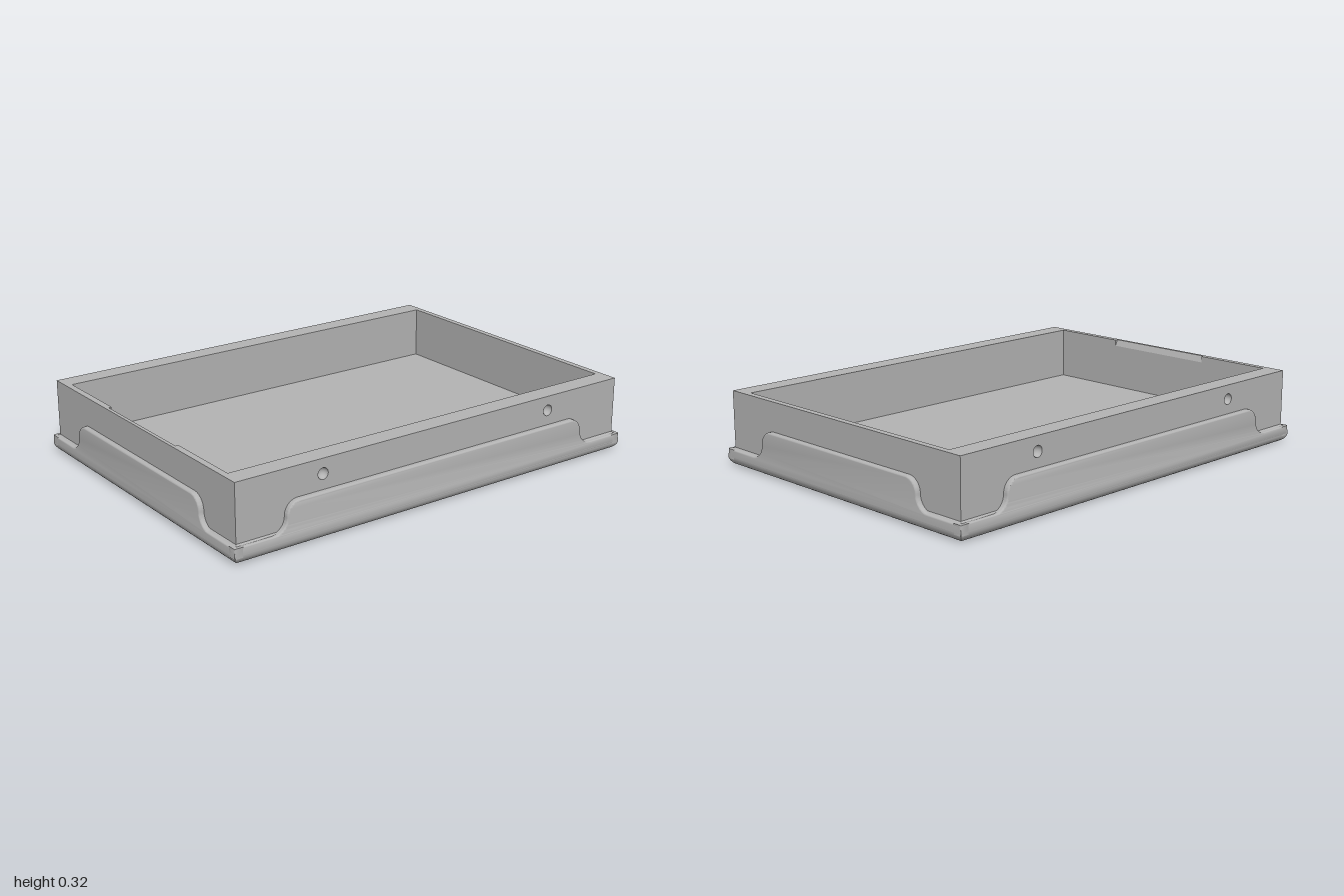
import * as THREE from 'three';
import { toCreasedNormals } from 'three/addons/utils/BufferGeometryUtils.js';

// Overall half sizes: outer base, wall box, cavity
const BASE = { x: 0.727, z: 1.0 };
const WALL = { x: 0.703, z: 0.978 };
const CAVITY = { x: 0.614, z: 0.95 };
const TOP = 0.325, FLOOR = 0.095, LOW = 0.05;

export function createModel() {
  const tray = new THREE.Group();
  tray.name = 'tray';
  const grey = new THREE.MeshStandardMaterial({ color: 0xb3b3b3, side: THREE.DoubleSide });
  grey.name = 'grey';

  const add = (name, geometry, angle = 0) => {
    const mesh = new THREE.Mesh(geometry, grey);
    mesh.name = name;
    mesh.rotation.y = angle;
    tray.add(mesh);
    return mesh;
  };
  // Box given by its minimum and maximum corners
  const box = (name, x0, x1, y0, y1, z0, z1) =>
    add(name, new THREE.BoxGeometry(x1 - x0, y1 - y0, z1 - z0)
      .translate((x0 + x1) / 2, (y0 + y1) / 2, (z0 + z1) / 2));
  const rect = (halfX, y0, y1) => new THREE.Shape([
    new THREE.Vector2(-halfX, y0), new THREE.Vector2(halfX, y0),
    new THREE.Vector2(halfX, y1), new THREE.Vector2(-halfX, y1)]);

  // Base slab with rounded lower edges
  const slab = new THREE.ExtrudeGeometry(rect(BASE.x, -BASE.z, BASE.z), {
    depth: 0.002, bevelSize: 0.04, bevelThickness: 0.04, bevelOffset: -0.04, bevelSegments: 8,
  });
  slab.rotateX(-Math.PI / 2).translate(0, 0.04, 0);
  add('base', toCreasedNormals(slab, 0.6));

  // Skirt: a low lip that rises to a raised tab through S-curves
  const skirt = (name, halfWidth, tab, distance, angle) => {
    const r = 0.062, mid = 0.135, b = 0.008, thick = 0.044;
    const s = new THREE.Shape();
    s.moveTo(-halfWidth, 0.03);
    s.lineTo(halfWidth, 0.03);
    s.lineTo(halfWidth, mid - r);
    s.absarc(tab + 2 * r, mid, r, -Math.PI / 2, -Math.PI, true);
    s.absarc(tab, mid, r, 0, Math.PI / 2, false);
    s.absarc(-tab, mid, r, Math.PI / 2, Math.PI, false);
    s.absarc(-tab - 2 * r, mid, r, 0, -Math.PI / 2, true);
    s.lineTo(-halfWidth, mid - r);
    const g = new THREE.ExtrudeGeometry(s, {
      depth: thick - 2 * b, curveSegments: 12,
      bevelSize: b, bevelThickness: b, bevelOffset: -b, bevelSegments: 4,
    });
    g.translate(0, 0, distance - thick + b);
    add(name, toCreasedNormals(g, 0.6), angle);
  };
  skirt('frontSkirt', BASE.x, 0.422, BASE.z, 0);
  skirt('backSkirt', BASE.x, 0.422, BASE.z, Math.PI);
  skirt('leftSkirt', BASE.z, 0.7, BASE.x, Math.PI / 2);
  skirt('rightSkirt', BASE.z, 0.7, BASE.x, -Math.PI / 2);

  // Cavity floor
  box('floor', -0.65, 0.65, LOW, FLOOR, -0.96, 0.96);

  // Side walls: an outer skin with two round dimples over a solid core
  const holeR = 0.024, holeY = 0.262, holeZ = 0.582;
  for (const side of [1, -1]) {
    const label = side > 0 ? 'left' : 'right';
    const shape = rect(WALL.z, LOW, TOP);
    for (const z of [-holeZ, holeZ]) {
      shape.holes.push(new THREE.Path().absarc(z, holeY, holeR, 0, Math.PI * 2, true));
    }
    const skin = new THREE.ExtrudeGeometry(shape, { depth: holeR, bevelEnabled: false, curveSegments: 24 });
    skin.translate(0, 0, WALL.x - holeR);
    add(label + 'WallSkin', toCreasedNormals(skin, 0.6), side * Math.PI / 2);

    const xs = [side * CAVITY.x, side * (WALL.x - holeR)].sort((a, b) => a - b);
    box(label + 'WallCore', xs[0], xs[1], LOW, TOP, -WALL.z, WALL.z);

    // Hollow bowls sunk into the holes
    for (const z of [-holeZ, holeZ]) {
      const bowl = new THREE.SphereGeometry(holeR, 24, 8, 0, Math.PI * 2, Math.PI / 2, Math.PI / 2);
      bowl.rotateZ(-side * Math.PI / 2);
      add(label + 'Dimple', bowl).position.set(side * WALL.x, holeY, z);
    }
  }

  // Back wall
  box('backWall', -CAVITY.x, CAVITY.x, LOW, TOP, -WALL.z, -CAVITY.z);

  // Front wall with a sloped finger notch along its inner top edge
  const notch = 0.265;
  box('frontWallRight', -CAVITY.x, -notch, LOW, TOP, CAVITY.z, WALL.z);
  box('frontWallLeft', notch, CAVITY.x, LOW, TOP, CAVITY.z, WALL.z);
  const section = new THREE.Shape([[-WALL.z, LOW], [-CAVITY.z, LOW], [-CAVITY.z, TOP - 0.028],
    [-CAVITY.z - 0.013, TOP], [-WALL.z, TOP]].map(([a, b]) => new THREE.Vector2(a, b)));
  const middle = new THREE.ExtrudeGeometry(section, { depth: notch * 2, bevelEnabled: false });
  middle.translate(0, 0, -notch).rotateY(Math.PI / 2);
  add('frontWallNotch', middle);

  return tray;
}
